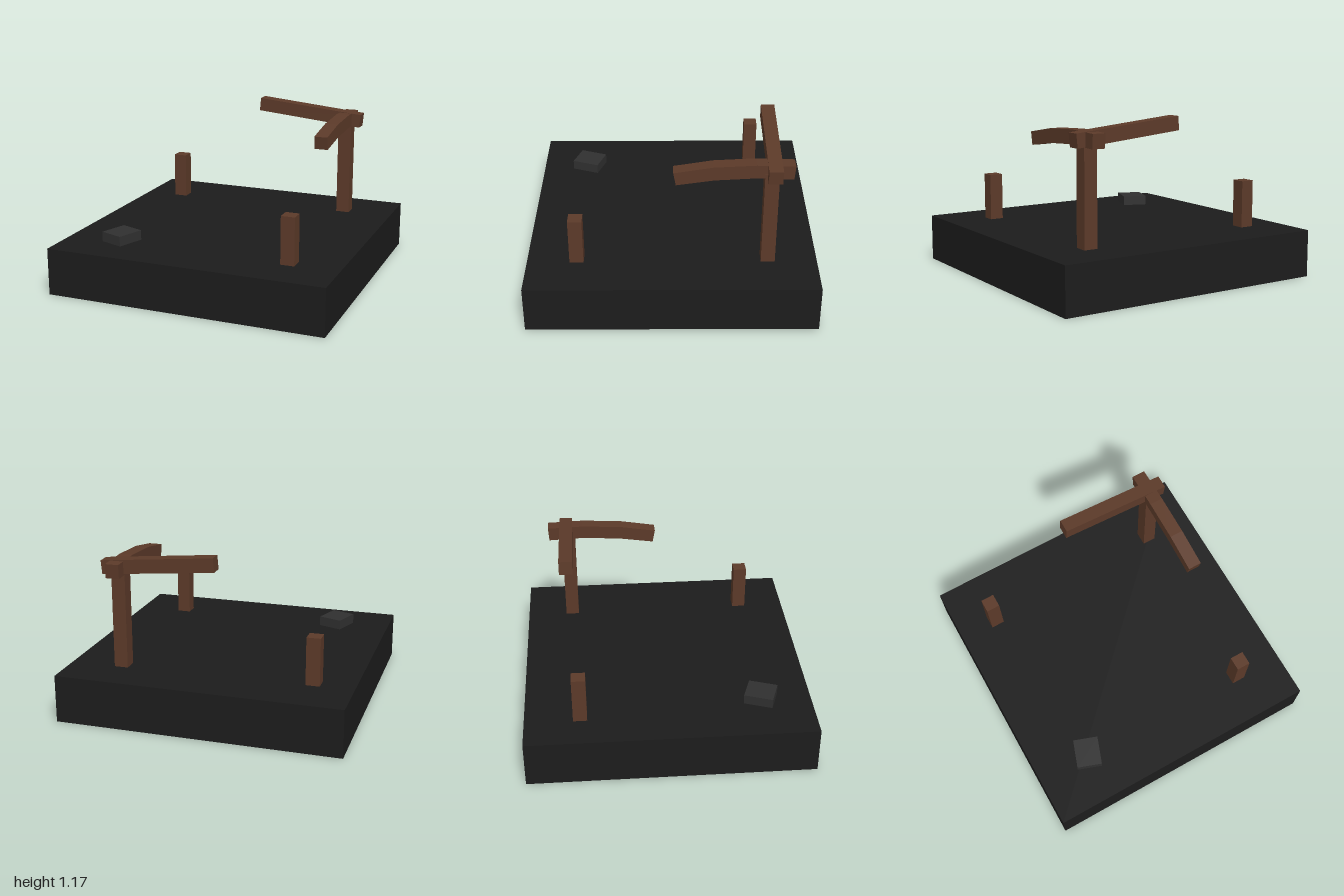
import * as THREE from 'three';

const material = (color) => new THREE.MeshStandardMaterial({ color, flatShading: true });

export function createModel() {
  const group = new THREE.Group();
  const wood = material(0x5c3a29);
  const earth = material(0x1c1c1c);
  const rock = material(0x303030);
  const ground = 0.335;

  function add(name, geometry, mat, x, y, z) {
    const mesh = new THREE.Mesh(geometry, mat);
    mesh.name = name;
    mesh.position.set(x, y, z);
    group.add(mesh);
    return mesh;
  }

  // Square slab
  add('base', new THREE.BoxGeometry(2, ground, 2), earth, 0, ground / 2, 0);

  // Posts standing on the slab: x, z, top height
  const posts = [
    ['shortPostBack', -0.717, -0.617, 0.67],
    ['shortPostFront', 0.643, 0.657, 0.67],
    ['tallPost', 0.633, -0.66, 1.04],
  ];
  for (const [name, x, z, top] of posts) {
    add(name, new THREE.BoxGeometry(0.097, top - ground, 0.097), wood, x, (top + ground) / 2, z);
  }

  // Straight beam, tilted up towards its free end
  const beam = add('straightBeam', new THREE.BoxGeometry(0.8, 0.097, 0.095), wood, 0.346, 1.085, -0.677);
  beam.rotation.z = -0.094;

  // Sagging beam: side outline (z, y) extruded across its width
  const outline = [
    [-0.008, 1.047], [-0.27, 1.09], [-0.555, 1.105], [-0.81, 1.097],
    [-0.803, 0.998], [-0.555, 1.008], [-0.277, 0.992], [-0.025, 0.955],
  ];
  const shape = new THREE.Shape(outline.map(([z, y]) => new THREE.Vector2(-z, y)));
  const bent = new THREE.ExtrudeGeometry(shape, { depth: 0.095, bevelEnabled: false });
  bent.rotateY(Math.PI / 2); // outline x runs along -z, extrusion along +x
  add('bentBeam', bent, wood, 0.585, 0, 0);

  // Flat stone
  const stone = add('stone', new THREE.BoxGeometry(0.178, 0.07, 0.203), rock, -0.608, ground + 0.035, 0.647);
  stone.rotation.y = -0.342;

  return group;
}
